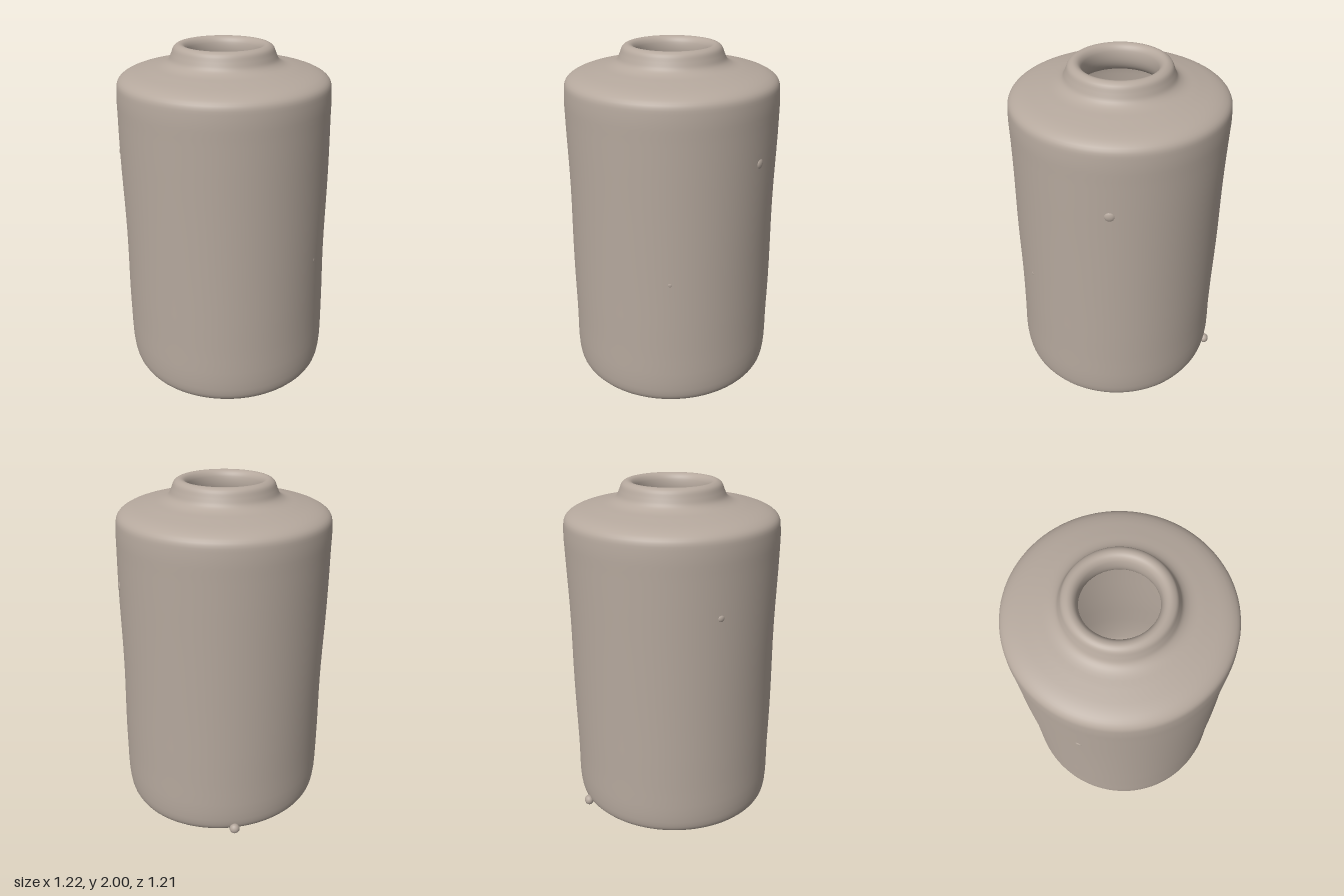
import * as THREE from 'three';

const clay = new THREE.MeshStandardMaterial({ color: 0xb5a89d });
clay.name = 'warm grey clay';

// Closed cross-section [radius, height]: foot, outer wall, neck, lip, inner wall, floor
const PROFILE = [
  [0.072, 0.05], [0.16, 0.055], [0.25, 0.05], [0.29, 0.02], [0.34, 0.004], [0.44, 0.006],
  [0.53, 0.022], [0.58, 0.06], [0.598, 0.13], [0.6, 0.4], [0.598, 0.8], [0.598, 1.2],
  [0.6, 1.6], [0.599, 1.75], [0.588, 1.81], [0.54, 1.845], [0.42, 1.875], [0.34, 1.892],
  [0.305, 1.915], [0.288, 1.95], [0.272, 1.985], [0.245, 1.999], [0.22, 1.992], [0.202, 1.965],
  [0.2, 1.9], [0.23, 1.85], [0.36, 1.82], [0.5, 1.78], [0.53, 1.68],
  [0.53, 0.9], [0.53, 0.24], [0.47, 0.14], [0.3, 0.115], [0.14, 0.105], [0.085, 0.09], [0.072, 0.05],
];

// Hand-made irregularity: slight lean, uneven wall and a lifted foot on one side
function warp(v) {
  const { x, y, z } = v;
  const wave = 1 + 0.004 * Math.sin(y * 7 + Math.atan2(z, x) * 2) * Math.min(1, Math.hypot(x, z) / 0.6);
  const foot = Math.max(0, 1 - y / 0.3);
  v.set(x * wave + 0.011 - 0.012 * y, y + 0.03 * Math.max(0, -x / 0.6) * foot, z * wave);
  return v;
}

function makeBottle() {
  const curve = new THREE.CatmullRomCurve3(
    PROFILE.map(([r, y]) => new THREE.Vector3(r, y, 0)), false, 'centripetal');
  const points = curve.getPoints(140).map(p => new THREE.Vector2(p.x, p.y));
  const geometry = new THREE.LatheGeometry(points, 96);
  const pos = geometry.attributes.position;
  const v = new THREE.Vector3();
  for (let i = 0; i < pos.count; i++) {
    warp(v.fromBufferAttribute(pos, i));
    pos.setXYZ(i, v.x, v.y, v.z);
  }
  const mesh = new THREE.Mesh(geometry, clay);
  mesh.name = 'hollowBottle';
  return mesh;
}

// Small clay lumps on the surface: [x, y, z, radius, flatness]
const LUMPS = [
  [-0.452, 0.085, -0.385, 0.03, 0.9],
  [-0.425, 1.4, 0.42, 0.022, 0.6],
  [0.295, 1.44, -0.512, 0.03, 0.5],
  [0.585, 0.83, -0.08, 0.018, 0.5],
  [0.59, 0.23, -0.05, 0.024, 0.4],
];

export function createModel() {
  const model = new THREE.Group();
  model.name = 'clayBottle';
  model.add(makeBottle());

  const lumpShape = new THREE.SphereGeometry(1, 16, 10);
  for (const [x, y, z, r, flat] of LUMPS) {
    const lump = new THREE.Mesh(lumpShape, clay);
    lump.name = 'clayLump';
    lump.position.set(x, y, z);
    lump.scale.set(r, r, r * flat);
    lump.rotation.y = Math.atan2(x, z);
    model.add(lump);
  }
  return model;
}
